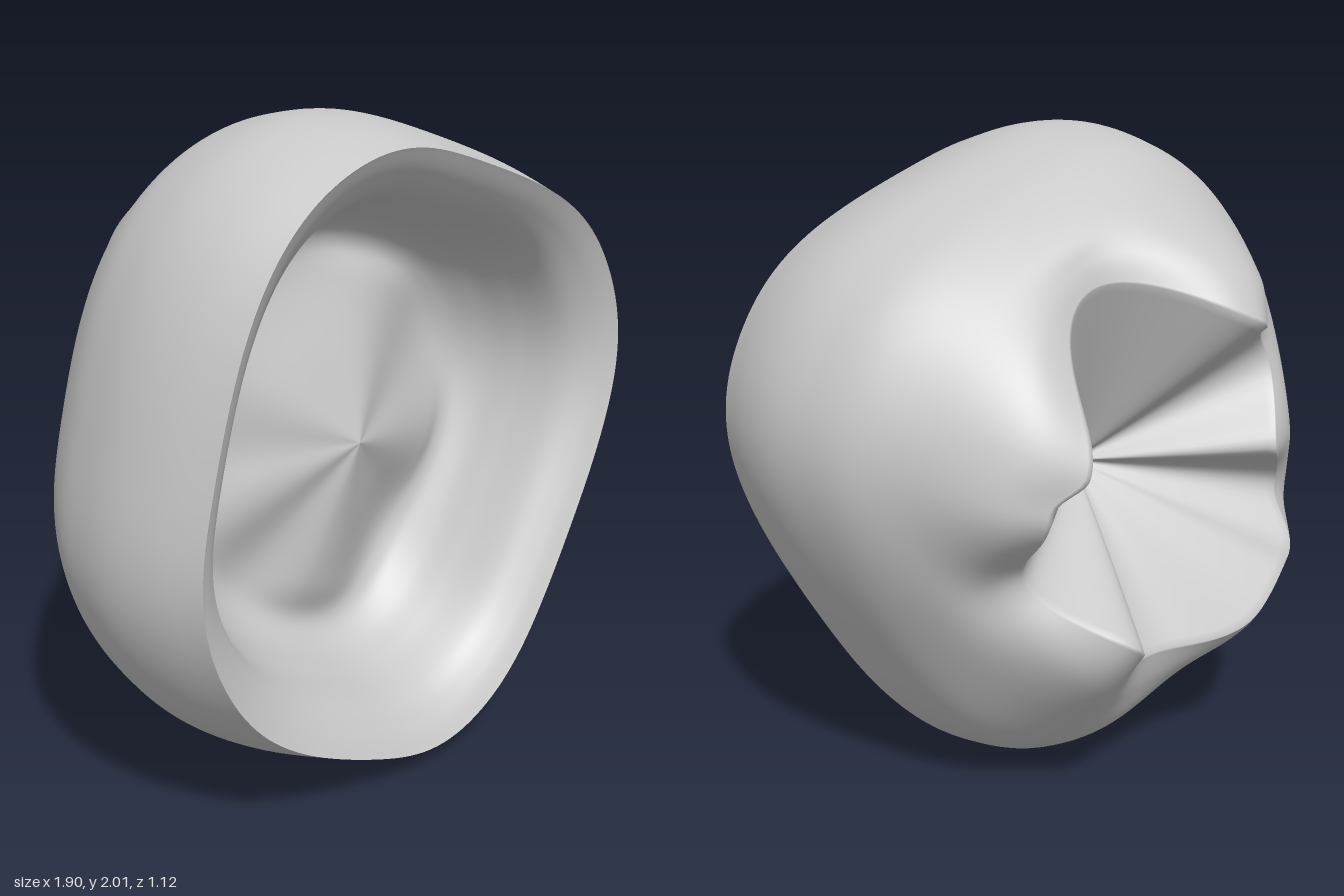
import * as THREE from 'three';

const SEGMENTS = 180;
const RIM_Z = 0.56;

// Widest outline of the crown, counter-clockwise, relative to its centre
const outlineCurve = new THREE.CatmullRomCurve3([
  [0.96, 0.215], [0.893, 0.45], [0.735, 0.672], [0.49, 0.815], [0.2, 0.922], [-0.14, 1.016],
  [-0.398, 0.964], [-0.585, 0.852], [-0.737, 0.656], [-0.832, 0.425], [-0.918, 0.1], [-0.96, -0.17],
  [-0.873, -0.46], [-0.706, -0.682], [-0.468, -0.833], [-0.2, -0.946], [0.05, -1.018],
  [0.253, -0.975], [0.44, -0.857], [0.595, -0.65], [0.757, -0.368], [0.893, -0.085],
].map(([x, y]) => new THREE.Vector3(x, y, 0)), true).getSpacedPoints(SEGMENTS).slice(0, SEGMENTS);

// Light averaging along the outline keeps the flanks even
const WINDOW = 5;
const outline = outlineCurve.map((_, j) => {
  const p = new THREE.Vector3();
  for (let k = -WINDOW; k <= WINDOW; k++) p.add(outlineCurve[(j + k + SEGMENTS) % SEGMENTS]);
  return p.divideScalar(2 * WINDOW + 1);
});

// Chewing ridge: angle in degrees, radius, z; cusps alternate with grooves
const outerRidge = [
  [23, 0.49, -0.56], [74, 0.64, -0.28], [114, 0.55, -0.55], [145, 0.59, -0.35], [172, 0.42, -0.47],
  [193, 0.6, -0.33], [212, 0.65, -0.43], [230, 0.63, -0.45], [268, 0.56, -0.33], [303, 0.45, -0.55],
  [340, 0.5, -0.31], [370, 0.55, -0.51],
];

// Floor of the hollow: the same layout, shallower, radius as a share of the outline
const innerRidge = [
  [25, 0.5, 0.09], [74, 0.5, 0.17], [114, 0.5, 0.1], [150, 0.5, 0.13], [175, 0.48, 0.12],
  [200, 0.5, 0.14], [225, 0.5, 0.11], [255, 0.48, 0.18], [303, 0.5, 0.09], [345, 0.5, 0.15],
];

function ridgeAt(ridge, angle) {
  const start = ridge[0][0];
  const deg = (THREE.MathUtils.radToDeg(angle) - start + 720) % 360 + start;
  let i = ridge.length - 1;
  while (ridge[i][0] > deg) i--;
  const a = ridge[i];
  const b = ridge[i + 1] || [start + 360, ridge[0][1], ridge[0][2]];
  const t = (1 - Math.cos(Math.PI * (deg - a[0]) / (b[0] - a[0]))) / 2;
  return [a[1] + (b[1] - a[1]) * t, a[2] + (b[2] - a[2]) * t];
}

// Samples a smooth profile of [radius, z] points
const smooth = (points, n) =>
  new THREE.SplineCurve(points.map(([r, z]) => new THREE.Vector2(r, z))).getPoints(n);

// Rim, flank, ridge, then a slope down to the central pit
function outerProfile(R, angle) {
  const [r, z] = ridgeAt(outerRidge, angle);
  const shoulder = 0.835 * R;
  const points = smooth([
    [0.93 * R, RIM_Z], [0.98 * R, 0.4], [R, 0.25], [0.985 * R, 0.11], [0.94 * R, -0.04],
    [shoulder, -0.2], [shoulder + (r - shoulder) * 0.52, -0.2 + (z + 0.2) * 0.68], [r, z],
  ], 56);
  for (let i = 1; i <= 24; i++) {
    const s = 1 - i / 24;
    points.push(new THREE.Vector2(r * s, z * Math.pow(s, 0.95)));
  }
  return points;
}

// Rim bevel, steep wall, rounded foot, then a low mound at the centre
function innerProfile(R, angle) {
  const [share, z] = ridgeAt(innerRidge, angle);
  const r = share * R;
  return smooth([
    [0.93 * R, RIM_Z], [0.86 * R, 0.515], [0.79 * R, 0.44], [0.735 * R, 0.3], [0.685 * R, 0.19],
    [0.61 * R, 0.07 + z * 0.4], [r, z], [r * 0.5, (z + 0.265) / 2], [0, 0.265],
  ], 72);
}

// Lofts one profile per outline point into a closed surface
function loft(profile, facesOut) {
  const positions = [];
  const index = [];
  let rows = 0;
  for (const p of outline) {
    const angle = Math.atan2(p.y, p.x);
    const points = profile(Math.hypot(p.x, p.y), angle);
    rows = points.length;
    for (const q of points) {
      positions.push(q.x * Math.cos(angle), 1 + q.x * Math.sin(angle), q.y);
    }
  }
  for (let j = 0; j < SEGMENTS; j++) {
    const next = (j + 1) % SEGMENTS;
    for (let i = 0; i < rows - 1; i++) {
      const a = j * rows + i;
      const b = next * rows + i;
      if (facesOut) index.push(a, a + 1, b, b, a + 1, b + 1);
      else index.push(a, b, a + 1, b, b + 1, a + 1);
    }
  }
  const geometry = new THREE.BufferGeometry();
  geometry.setAttribute('position', new THREE.Float32BufferAttribute(positions, 3));
  geometry.setIndex(index);
  geometry.computeVertexNormals();
  return geometry;
}

export function createModel() {
  const group = new THREE.Group();
  group.name = 'molarCrown';
  const enamel = new THREE.MeshStandardMaterial({ color: 0xc8c8c8 });
  enamel.name = 'enamelGrey';

  // Outer flanks, cusps and chewing basin
  const outer = new THREE.Mesh(loft(outerProfile, true), enamel);
  outer.name = 'outerCrown';

  // Hollow underside meeting the outer shell at a sharp rim
  const inner = new THREE.Mesh(loft(innerProfile, false), enamel);
  inner.name = 'innerHollow';

  group.add(outer, inner);
  return group;
}
